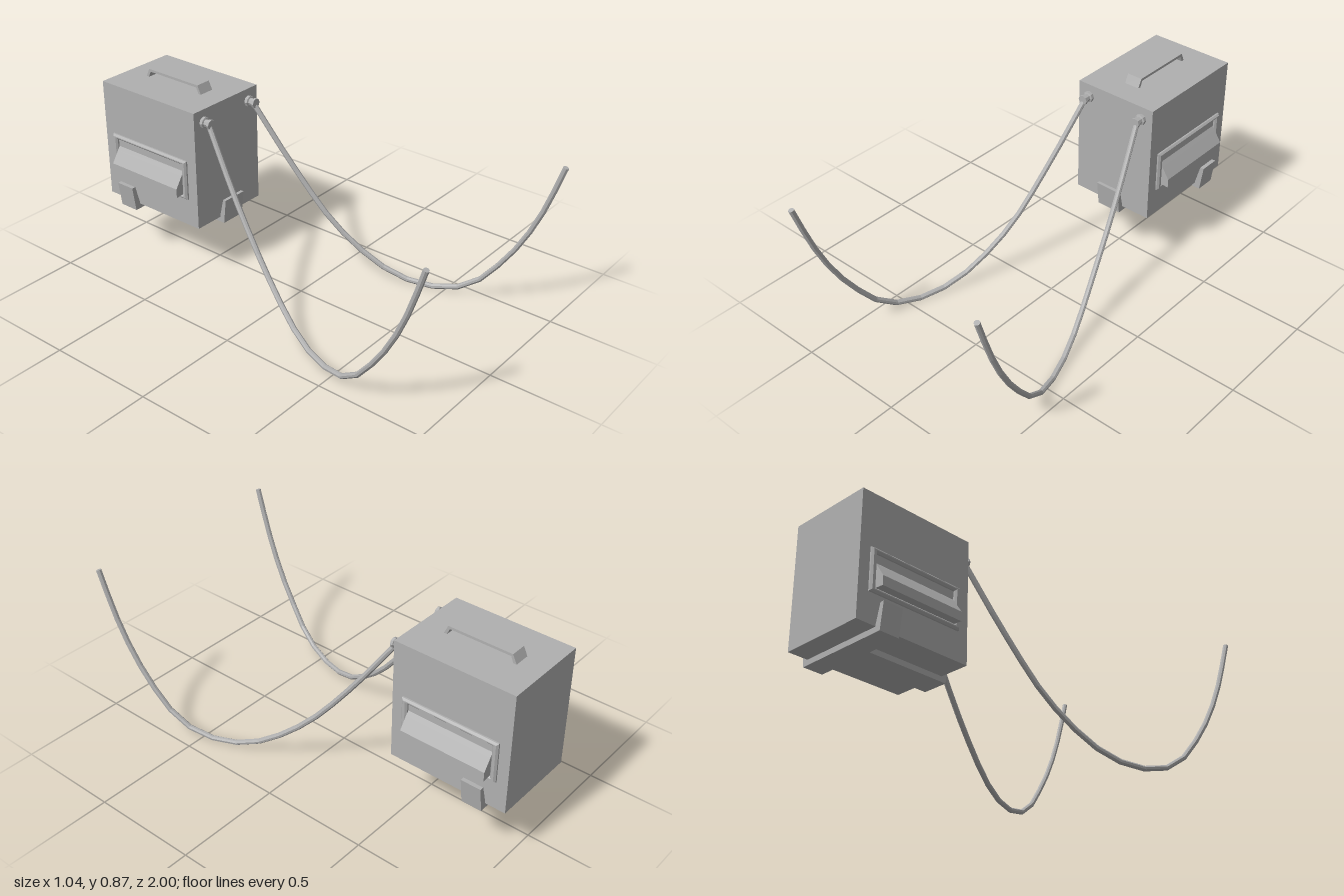
import * as THREE from 'three';

const grey = new THREE.MeshStandardMaterial({ color: 0xb0b0b0, flatShading: true });
grey.name = 'grey';

const shapeOf = (pts) => new THREE.Shape(pts.map(([a, b]) => new THREE.Vector2(a, b)));

function add(group, name, geometry) {
  const mesh = new THREE.Mesh(geometry, grey);
  mesh.name = name;
  group.add(mesh);
  return mesh;
}

function box(x0, x1, y0, y1, z0, z1) {
  return new THREE.BoxGeometry(x1 - x0, y1 - y0, z1 - z0)
    .translate((x0 + x1) / 2, (y0 + y1) / 2, (z0 + z1) / 2);
}

// x-y profile extruded between two z values
function alongZ(pts, z0, z1) {
  return new THREE.ExtrudeGeometry(shapeOf(pts), { depth: z1 - z0, bevelEnabled: false })
    .translate(0, 0, z0);
}

// z-y profile extruded symmetrically across x
function alongX(pts, width) {
  return new THREE.ExtrudeGeometry(shapeOf(pts), { depth: width, bevelEnabled: false })
    .translate(0, 0, -width / 2).rotateY(-Math.PI / 2);
}

export function createModel() {
  const model = new THREE.Group();
  model.name = 'caseWithCables';

  add(model, 'body', box(-0.206, 0.206, 0.265, 0.836, -1, -0.43));

  // Bent strip handle on the lid
  add(model, 'handle', alongX([
    [-0.545, 0.834], [-0.565, 0.876], [-0.868, 0.876], [-0.888, 0.834],
    [-0.873, 0.834], [-0.86, 0.864], [-0.573, 0.864], [-0.56, 0.834],
  ], 0.074));

  // Straps under the body and the front clip
  add(model, 'crossStrap', box(-0.231, 0.231, 0.24, 0.266, -0.905, -0.81));
  add(model, 'frontStrap', box(-0.061, 0.061, 0.24, 0.266, -0.81, -0.408));
  add(model, 'frontClip', alongX([
    [-0.408, 0.24], [-0.394, 0.36], [-0.41, 0.36], [-0.43, 0.275], [-0.43, 0.24],
  ], 0.122));

  for (const s of [1, -1]) {
    const side = new THREE.Group();
    side.name = s > 0 ? 'leftSide' : 'rightSide';
    model.add(side);
    const mirror = (pts) => pts.map(([x, y]) => [s * x, y]);

    // Upturned end of the cross strap
    add(side, 'sideClip', alongZ(mirror([
      [0.205, 0.24], [0.231, 0.24], [0.247, 0.36], [0.228, 0.36], [0.206, 0.275],
    ]), -0.905, -0.81));

    // Vent surround with a bevelled edge
    const surround = shapeOf([[-0.225, -0.088], [0.225, -0.088], [0.225, 0.088], [-0.225, 0.088]]);
    surround.holes.push(new THREE.Path([
      [-0.213, -0.083], [-0.213, 0.083], [0.213, 0.083], [0.213, -0.083],
    ].map(([a, b]) => new THREE.Vector2(a, b))));
    const frame = add(side, 'ventFrame', new THREE.ExtrudeGeometry(surround, {
      depth: 0.01, bevelEnabled: true, bevelThickness: 0.008, bevelSize: 0.008, bevelSegments: 1,
    }));
    frame.position.set(s * 0.203, 0.495, -0.716);
    frame.rotation.y = s * Math.PI / 2;

    // Sloping hood inside the surround
    add(side, 'ventHood', alongZ(mirror([
      [0.204, 0.535], [0.22, 0.512], [0.255, 0.46], [0.255, 0.417], [0.204, 0.421],
    ]), -0.92, -0.51));

    // Cable socket
    const socket = new THREE.LatheGeometry([
      [0, 0], [0.026, 0], [0.026, 0.015], [0.018, 0.018], [0.018, 0.036], [0.023, 0.038], [0.023, 0.05], [0, 0.05],
    ].map(([r, h]) => new THREE.Vector2(r, h)), 8);
    socket.rotateX(Math.PI / 2).translate(s * 0.147, 0.777, -0.431);
    add(side, 'socket', socket);

    // Hanging cable
    const path = new THREE.CatmullRomCurve3([
      [0.147, 0.777, -0.4], [0.2, 0.487, -0.2], [0.25, 0.243, 0], [0.313, 0.084, 0.195],
      [0.352, 0.032, 0.31], [0.388, 0.014, 0.42], [0.43, 0.04, 0.56], [0.453, 0.1, 0.65],
      [0.473, 0.21, 0.74], [0.488, 0.35, 0.83], [0.5, 0.525, 0.91], [0.509, 0.751, 0.985],
    ].map(([x, y, z]) => new THREE.Vector3(s * x, y, z)));
    add(side, 'cable', new THREE.TubeGeometry(path, 18, 0.0125, 8));
    const end = add(side, 'cableEnd', new THREE.CircleGeometry(0.0125, 8));
    end.position.copy(path.getPoint(1));
    end.lookAt(path.getPoint(1).add(path.getTangent(1)));
  }
  return model;
}
